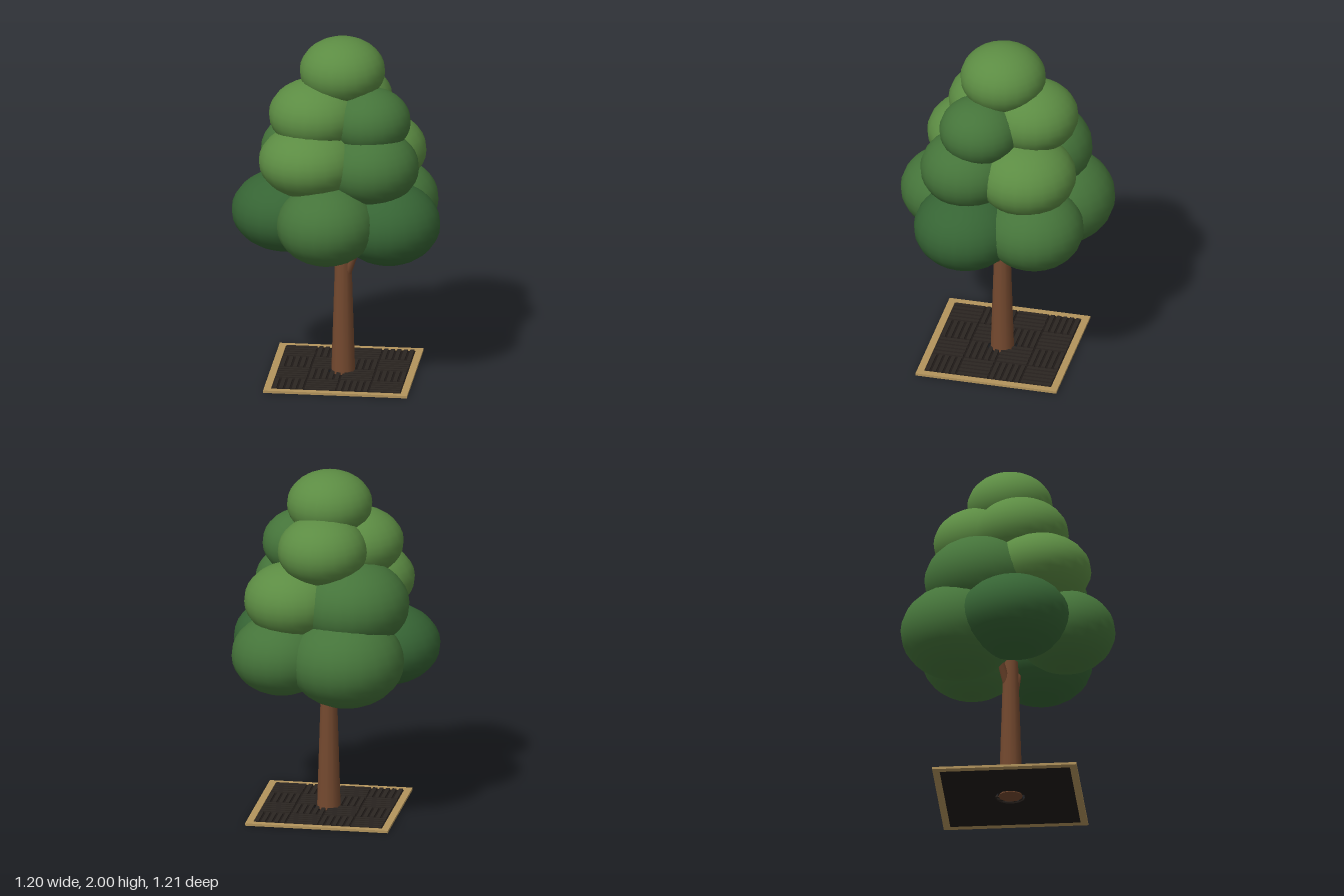
import * as THREE from 'three';

const mat = (color) => new THREE.MeshStandardMaterial({ color });
const CX = 0.03; // trunk axis in x

function add(parent, name, geometry, material, x = 0, y = 0, z = 0) {
  const mesh = new THREE.Mesh(geometry, material);
  mesh.name = name;
  mesh.position.set(x, y, z);
  parent.add(mesh);
  return mesh;
}

// tapered limb running from point a to point b
function limb(parent, name, a, b, r0, r1, material) {
  const from = new THREE.Vector3(...a), to = new THREE.Vector3(...b);
  const dir = to.clone().sub(from);
  const mesh = add(parent, name, new THREE.CylinderGeometry(r1, r0, dir.length(), 12), material);
  mesh.position.copy(from).add(to).multiplyScalar(0.5);
  mesh.quaternion.setFromUnitVectors(new THREE.Vector3(0, 1, 0), dir.normalize());
}

// flat square slab with a hole, lying on y = 0
function slab(half, hole, height) {
  const s = new THREE.Shape();
  s.moveTo(-half, -half).lineTo(half, -half).lineTo(half, half).lineTo(-half, half).closePath();
  s.holes.push(hole);
  const g = new THREE.ExtrudeGeometry(s, { depth: height, bevelEnabled: false, curveSegments: 20 });
  return g.rotateX(-Math.PI / 2);
}

function buildPlanter() {
  const planter = new THREE.Group();
  planter.name = 'treeGrate';
  planter.position.x = CX;
  const wood = mat(0xb3945c), iron = mat(0x2b2521), soil = mat(0x1f1a17);

  // timber border
  const inner = 0.37;
  const opening = new THREE.Path();
  opening.moveTo(-inner, -inner).lineTo(-inner, inner).lineTo(inner, inner).lineTo(inner, -inner).closePath();
  add(planter, 'border', slab(0.41, opening, 0.014), wood);

  // base plate with a round trunk opening
  const ring = new THREE.Path();
  ring.absarc(0, 0, 0.085, 0, Math.PI * 2, true);
  add(planter, 'basePlate', slab(inner, ring, 0.009), soil);

  // slats laid in a basket weave, left out around the trunk
  const cells = 4, perCell = 5, cell = (2 * inner) / cells, pitch = cell / perCell;
  const slat = new THREE.BoxGeometry(cell * 0.94, 0.01, pitch * 0.62);
  for (let i = 0; i < cells; i++) for (let j = 0; j < cells; j++) for (let k = 0; k < perCell; k++) {
    const cx = (i + 0.5) * cell - inner, cz = (j + 0.5) * cell - inner;
    const off = (k + 0.5) * pitch - cell / 2;
    const turned = (i + j) % 2 === 1;
    const m = add(planter, 'slat', slat, iron, cx + (turned ? off : 0), 0.014, cz + (turned ? 0 : off));
    if (turned) m.rotation.y = Math.PI / 2;
  }
  return planter;
}

function buildTrunk() {
  const trunk = new THREE.Group();
  trunk.name = 'trunk';
  const bark = mat(0x74492f);
  limb(trunk, 'stem', [CX, 0.004, 0.003], [CX, 0.84, 0.003], 0.068, 0.042, bark);
  limb(trunk, 'leftBranch', [0.045, 0.58, 0.01], [0.135, 0.83, 0.04], 0.026, 0.019, bark);
  limb(trunk, 'backBranch', [0.03, 0.68, -0.01], [-0.04, 0.86, -0.06], 0.024, 0.018, bark);
  return trunk;
}

function buildCanopy() {
  const canopy = new THREE.Group();
  canopy.name = 'canopy';
  const light = mat(0x5c8c43), mid = mat(0x45743a), dark = mat(0x366434);
  const ball = new THREE.SphereGeometry(1, 22, 16);
  // x, y, z, horizontal radius, vertical radius, leaf shade
  const clumps = [
    // lowest tier
    [-0.285, 0.98, 0.05, 0.315, 0.23, dark],
    [-0.03, 0.99, 0.32, 0.283, 0.23, mid],
    [0.305, 0.955, 0.15, 0.295, 0.235, dark],
    [0.26, 0.975, -0.235, 0.285, 0.23, mid],
    [-0.12, 0.97, -0.28, 0.33, 0.265, mid],
    // middle tier
    [-0.14, 1.325, 0.185, 0.29, 0.205, light],
    [0.215, 1.295, 0.165, 0.265, 0.215, mid],
    [0.2, 1.285, -0.178, 0.283, 0.215, light],
    [-0.14, 1.27, -0.155, 0.318, 0.25, mid],
    // upper tier
    [-0.115, 1.57, 0.075, 0.27, 0.2, light],
    [0.195, 1.545, 0.095, 0.23, 0.19, mid],
    [0.035, 1.585, -0.18, 0.255, 0.2, light],
    // crown
    [0.025, 1.81, 0.0, 0.243, 0.19, light],
  ];
  for (const [x, y, z, r, h, leaf] of clumps) {
    add(canopy, 'leafClump', ball, leaf, x, y, z).scale.set(r, h, r);
  }
  return canopy;
}

export function createModel() {
  const tree = new THREE.Group();
  tree.name = 'tree';
  tree.add(buildPlanter(), buildTrunk(), buildCanopy());
  return tree;
}
